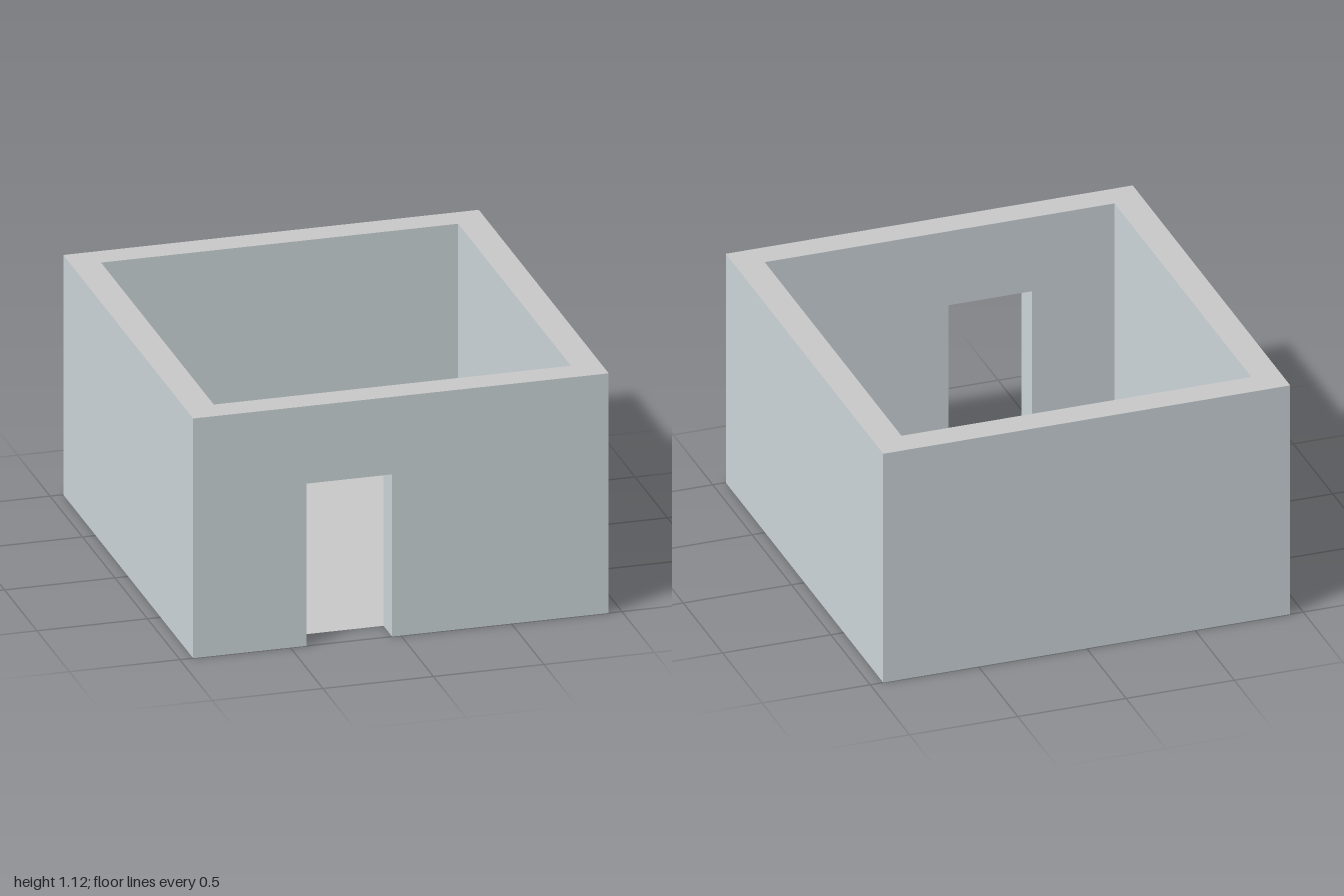
import * as THREE from 'three';
import { mergeGeometries } from 'three/addons/utils/BufferGeometryUtils.js';

const X = 0.94, Z = 1, H = 1.12;              // outer half width, half depth, height
const T = 0.132, IX = X - T, IZ = Z - T;      // wall thickness, inner half sizes
const D0 = -0.427, D1 = -0.04, DH = 0.758;    // doorway sides and height
const Q = Math.PI / 2;

const rect = (x0, y0, x1, y1) => [[x0, y0], [x1, y0], [x1, y1], [x0, y1]];
const toVectors = pts => pts.map(p => new THREE.Vector2(...p));

// Flat panel facing +z, turned and moved into place
function panel(pts, { rx = 0, ry = 0, x = 0, y = 0, z = 0, hole } = {}) {
  const shape = new THREE.Shape(toVectors(pts));
  if (hole) shape.holes.push(new THREE.Path(toVectors(hole)));
  return new THREE.ShapeGeometry(shape).rotateX(rx).rotateY(ry).translate(x, y, z);
}

// Wall elevation of half width w with the doorway cut from its foot
const doorWall = (w, a, b) => [[-w, 0], [a, 0], [a, DH], [b, DH], [b, 0], [w, 0], [w, H], [-w, H]];

export function createModel() {
  const group = new THREE.Group();
  group.name = 'roofless room';
  const wallPaint = new THREE.MeshStandardMaterial({ color: 0xd2dbdf });
  const grey = new THREE.MeshStandardMaterial({ color: 0xcccccc, side: THREE.DoubleSide });
  const add = (name, material, panels) => {
    const mesh = new THREE.Mesh(mergeGeometries(panels), material);
    mesh.name = name;
    group.add(mesh);
  };

  // Outer faces
  const outer = [
    panel(doorWall(X, D0, D1), { z: Z }),
    panel(rect(-X, 0, X, H), { ry: 2 * Q, z: -Z }),
  ];
  // Inner faces
  const inner = [
    panel(doorWall(IX, -D1, -D0), { ry: 2 * Q, z: IZ }),
    panel(rect(-IX, 0, IX, H), { z: -IZ }),
  ];
  for (const s of [-1, 1]) {
    outer.push(panel(rect(-Z, 0, Z, H), { ry: s * Q, x: s * X }));
    inner.push(panel(rect(-IZ, 0, IZ, H), { ry: -s * Q, x: s * IX }));
  }
  add('walls', wallPaint, [...outer, ...inner]);

  // Doorway jambs and lintel
  add('doorway', wallPaint, [
    panel(rect(-Z, 0, -IZ, DH), { ry: Q, x: D0 }),
    panel(rect(IZ, 0, Z, DH), { ry: -Q, x: D1 }),
    panel(rect(D0, IZ, D1, Z), { rx: Q, y: DH }),
  ]);

  // Rim along the wall tops
  add('rim', grey, [
    panel(rect(-X, -Z, X, Z), { rx: -Q, y: H, hole: rect(-IX, -IZ, IX, IZ) }),
  ]);

  // Thin floor running under the walls, notched at the doorway
  add('floor', grey, [panel([
    [-X, Z], [-X, -Z], [D0, -Z], [D0, -IZ], [D1, -IZ], [D1, -Z], [X, -Z], [X, Z],
  ], { rx: -Q })]);

  return group;
}
